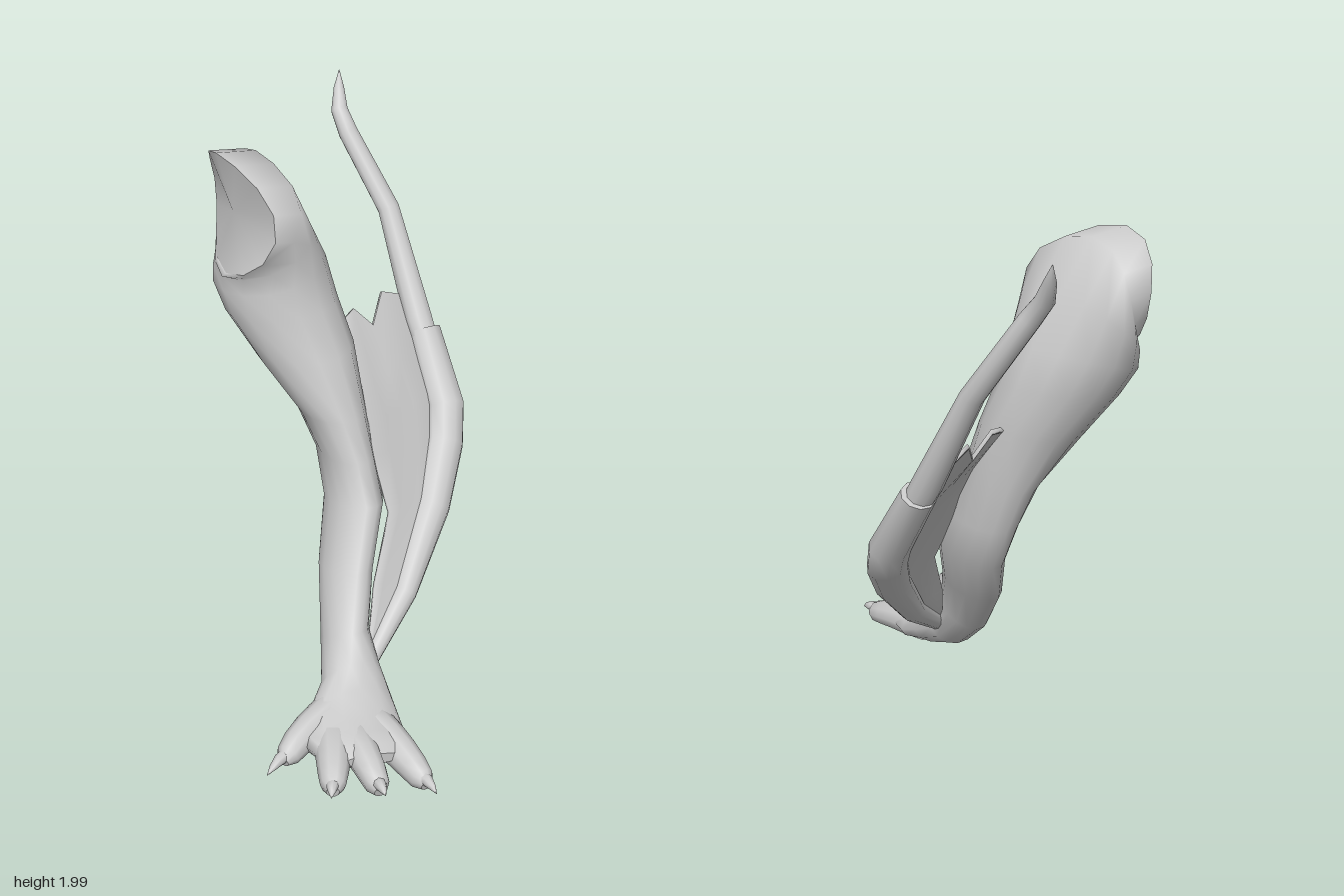
import * as THREE from 'three';

const material = new THREE.MeshStandardMaterial({ color: 0xcccccc, side: THREE.DoubleSide });
const V = (p) => new THREE.Vector3(...p);

// Skin a list of rings (arrays of Vector3, equal length); caps are separate so their edges stay sharp
function loft(name, rings, capped = true) {
  const n = rings[0].length, pos = [], idx = [];
  rings.forEach((r) => r.forEach((p) => pos.push(p.x, p.y, p.z)));
  for (let i = 0; i < rings.length - 1; i++) {
    for (let j = 0; j < n; j++) {
      const k = (j + 1) % n;
      const a = i * n + j, b = a + n, c = (i + 1) * n + k, d = i * n + k;
      idx.push(a, b, c, a, c, d);
    }
  }
  const cap = (ring, flip) => {
    const base = pos.length / 3;
    const mid = ring.reduce((s, p) => s.add(p), new THREE.Vector3()).divideScalar(n);
    [...ring, mid].forEach((p) => pos.push(p.x, p.y, p.z));
    for (let j = 0; j < n; j++) {
      const a = base + j, b = base + ((j + 1) % n);
      idx.push(base + n, flip ? b : a, flip ? a : b);
    }
  };
  if (capped) {
    cap(rings[0], false);
    cap(rings[rings.length - 1], true);
  }
  const g = new THREE.BufferGeometry();
  g.setAttribute('position', new THREE.Float32BufferAttribute(pos, 3));
  g.setIndex(idx);
  g.computeVertexNormals();
  const mesh = new THREE.Mesh(g, material);
  mesh.name = name;
  return mesh;
}

// Elliptical ring: centre, two half axes, and a bow of the u ends along x
function ring(c, u, v, bow = 0, n = 14) {
  return Array.from({ length: n }, (_, j) => {
    const a = (j / n) * Math.PI * 2, cos = Math.cos(a);
    const p = V(c).addScaledVector(V(u), cos).addScaledVector(V(v), Math.sin(a));
    p.x += bow * cos * cos;
    return p;
  });
}

// Tapered round tube through stations [x, y, z, radius], or [.., half width, half thickness along hint]
function limb(name, stations, hint, n = 10) {
  const pts = stations.map((s) => V(s.slice(0, 3)));
  const rings = stations.map(([x, y, z, w, h = w], i) => {
    const t = pts[Math.min(i + 1, pts.length - 1)].clone().sub(pts[Math.max(i - 1, 0)]).normalize();
    const u = t.clone().cross(V(hint)).normalize();
    const v = u.clone().cross(t);
    return ring([x, y, z], u.multiplyScalar(w).toArray(), v.multiplyScalar(h).toArray(), 0, n);
  });
  return loft(name, rings);
}

export function createModel() {
  const model = new THREE.Group();
  model.name = 'wingedForeleg';

  // Rounded front of the foot: z, half width, half height
  const footFront = [
    [0.675, 0.12, 0.02], [0.65, 0.15, 0.043], [0.6, 0.17, 0.062], [0.53, 0.185, 0.073],
  ].map(([z, w, h]) => ring([-0.233, 0.112, z], [w, -0.02, 0], [0, h, 0]));
  // Instep, wrist and forearm: centre, half width, then rise and depth of the front axis
  const forearm = [
    [-0.2, 0.145, 0.42, 0.165, 0.085, 0.02],
    [-0.14, 0.205, 0.31, 0.11, 0.075, 0.055],
    [-0.11, 0.31, 0.205, 0.08, 0.045, 0.1],
    [-0.04, 0.5, 0.07, 0.085, 0.02, 0.135],
    [0.04, 0.7, -0.03, 0.092, 0.02, 0.15],
    [0.045, 0.85, -0.11, 0.09, 0, 0.15],
    [0.015, 1.0, -0.155, 0.113, 0, 0.155],
  ].map(([x, y, z, w, rise, depth]) => ring([x, y, z], [w, 0, 0], [0, rise, depth]));
  // Upper leg turning towards the hollowed shoulder cut: centre, width, tilt, skew, depth, bow
  const shoulder = [
    [-0.04, 1.2, -0.245, 0.16, 0.03, 0.02, 0.16, 0],
    [-0.1, 1.36, -0.315, 0.18, 0.03, 0.035, 0.185, 0],
    [-0.125, 1.475, -0.355, 0.175, 0.055, 0.04, 0.205, 0],
    [-0.12, 1.585, -0.37, 0.13, 0.115, 0.035, 0.225, -0.05],
    [-0.125, 1.68, -0.375, 0.085, 0.2, 0.02, 0.235, -0.1],
    [-0.2, 1.69, -0.375, 0.005, 0.2, 0.01, 0.237, -0.09],
  ].map(([x, y, z, w, tilt, skew, depth, bow]) =>
    ring([x, y, z], [w, tilt, -tilt * tilt], [skew, 0, depth], bow));
  model.add(loft('leg', [...footFront, ...forearm, ...shoulder]));

  // Toes: base, knuckle, end and claw tip, with the pad thinning along a smooth path
  const padRadii = [0.07, 0.066, 0.058, 0.051, 0.042, 0.022];
  const toes = [
    ['outerToe', [-0.24, 0.155, 0.41], [-0.4, 0.135, 0.48], [-0.5, 0.1, 0.537], [-0.57, 0.085, 0.565]],
    ['secondToe', [-0.3, 0.115, 0.5], [-0.36, 0.12, 0.63], [-0.42, 0.094, 0.75], [-0.442, 0.1, 0.785]],
    ['thirdToe', [-0.24, 0.11, 0.5], [-0.258, 0.115, 0.66], [-0.272, 0.08, 0.8], [-0.28, 0.1, 0.85]],
    ['innerToe', [-0.14, 0.105, 0.5], [-0.113, 0.08, 0.66], [-0.098, 0.045, 0.795], [-0.092, 0.045, 0.85]],
  ];
  for (const [name, base, knuckle, end, tip] of toes) {
    const toe = new THREE.Group();
    toe.name = name;
    const path = new THREE.CatmullRomCurve3([V(base), V(knuckle), V(end)]);
    toe.add(limb('toePad', padRadii.map((r, i) =>
      [...path.getPointAt([0, 0.25, 0.5, 0.72, 0.9, 1][i]).toArray(), r]), [0, 1, 0]));
    const root = path.getPointAt(0.88);
    const claw = [[0, 0.005, 0.024], [0.45, 0.014, 0.02], [0.75, 0.009, 0.012], [1, 0, 0.001]];
    toe.add(limb('claw', claw.map(([t, lift, r]) =>
      [...root.clone().lerp(V(tip), t).add(V([0, lift, 0])).toArray(), r]), [0, 1, 0], 8));
    model.add(toe);
  }

  // Wing finger: thick lower sheath and slender upper bone
  const wingNormal = [-0.1, 0.5, 0.85];
  model.add(limb('wingFingerLower', [
    [-0.05, 0.23, 0.29, 0.03, 0.025],
    [0.14, 0.39, 0.18, 0.045, 0.035],
    [0.33, 0.62, 0.03, 0.065, 0.045],
    [0.445, 0.79, -0.1, 0.072, 0.055],
    [0.488, 0.9, -0.18, 0.075, 0.06],
    [0.482, 1.14, -0.335, 0.062, 0.055],
  ], wingNormal));
  model.add(limb('wingFingerUpper', [
    [0.478, 1.05, -0.28, 0.05, 0.045],
    [0.468, 1.18, -0.36, 0.054, 0.048],
    [0.452, 1.54, -0.57, 0.042, 0.036],
    [0.36, 1.8, -0.72, 0.037, 0.034],
    [0.352, 1.87, -0.775, 0.032, 0.03],
    [0.372, 1.94, -0.82, 0.02, 0.02],
    [0.385, 2.0, -0.845, 0.001, 0.001],
  ], wingNormal));

  // Wing membrane: thin sheet between leg and finger with a ragged top edge
  const rows = [
    [[-0.06, 0.25, 0.29], [-0.03, 0.26, 0.28]],
    [[0.02, 0.45, 0.18], [0.15, 0.42, 0.17]],
    [[0.13, 0.66, 0.075], [0.33, 0.66, 0.01]],
    [[0.11, 0.84, -0.01], [0.42, 0.84, -0.13]],
    [[0.12, 0.95, -0.06], [0.44, 0.95, -0.2]],
    [[0.095, 1.07, -0.12], [0.44, 1.07, -0.29]],
    [[0.1, 1.25, -0.27], [0.43, 1.25, -0.41]],
  ];
  const jag = [0, 0.03, -0.045, 0.045, 0.01];
  const sheet = rows.map(([l, r], i) => {
    const front = jag.map((h, j) => {
      const p = V(l).lerp(V(r), [0, 0.26, 0.49, 0.71, 1][j]);
      if (i === rows.length - 1) p.add(V([0, h, -h * 0.5]));
      return p;
    });
    const back = front.map((p) => p.clone().add(V([0, -0.007, -0.013]))).reverse();
    return [...back, ...front];
  });
  model.add(loft('wingMembrane', sheet, false));
  // Ragged rim strip closing the top of the sheet
  const top = sheet[sheet.length - 1];
  model.add(loft('membraneRim', jag.map((_, j) => {
    const f = top[5 + j], b = top[4 - j];
    const down = V([0, -0.008, 0.004]);
    return [f, b, b.clone().add(down), f.clone().add(down)];
  })));

  return model;
}
